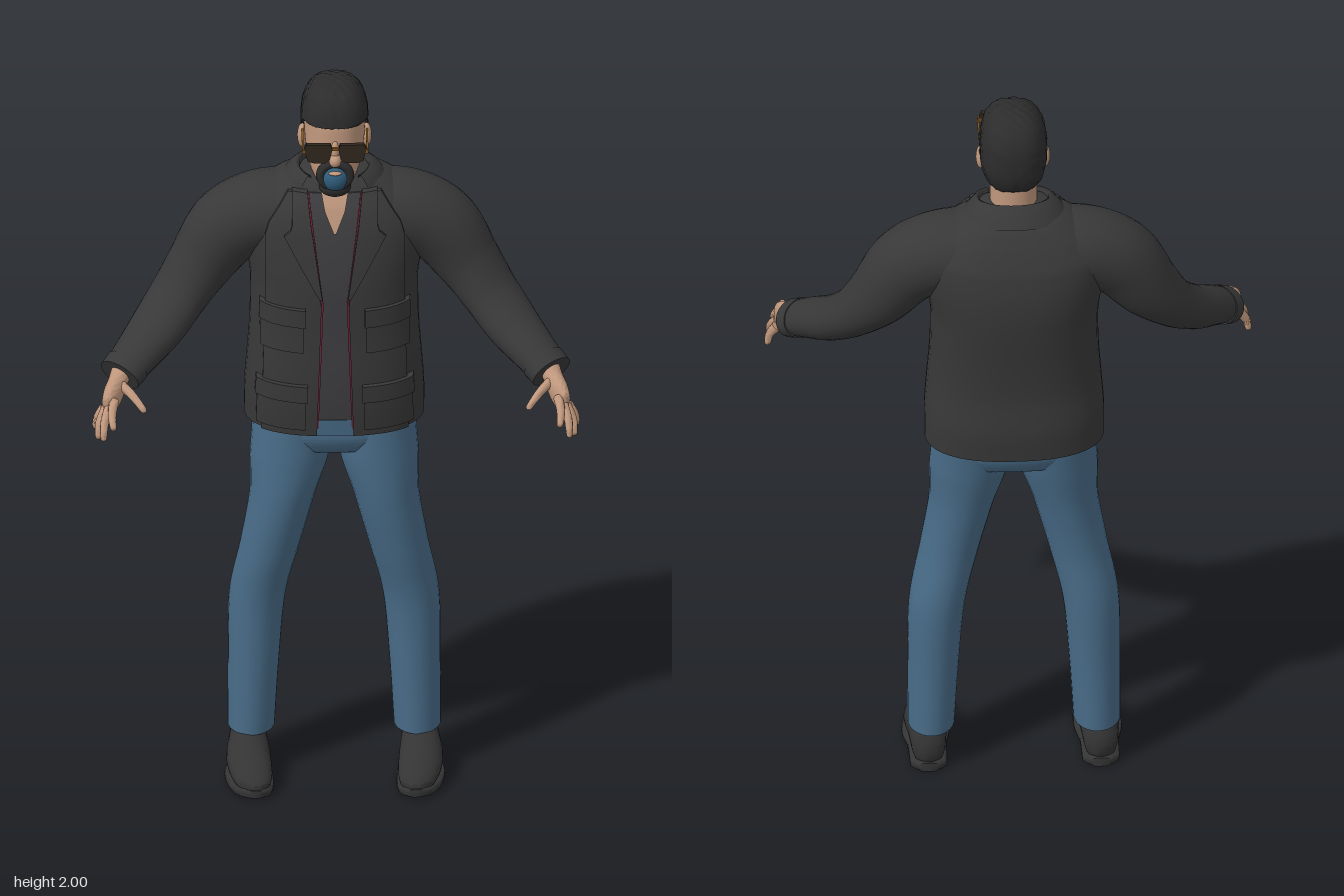
import * as THREE from 'three';
import { toCreasedNormals } from 'three/addons/utils/BufferGeometryUtils.js';

const V = (x, y, z) => new THREE.Vector3(x, y, z);
const Y = V(0, 1, 0), Z = V(0, 0, 1);
const material = (name, color, side = THREE.FrontSide) => {
  const m = new THREE.MeshStandardMaterial({ color, side });
  m.name = name;
  return m;
};

// Smooth closed body through rows of [x, y, z, radiusTowardsRef, radiusAcross]
function loft(rows, { ref = Y, flat = false, p = 2, n = 28, steps = 32 } = {}) {
  const path = new THREE.CatmullRomCurve3(rows.map(r => V(r[0], r[1], r[2])));
  const size = new THREE.CatmullRomCurve3(rows.map(r => V(r[3], r[4], 0)));
  const axis = ref === Z ? Y : Z, first = path.getPoint(0), last = path.getPoint(1);
  const flatT = axis.clone().multiplyScalar(Math.sign(last.clone().sub(first).dot(axis)));
  const pos = [], idx = [];
  const pw = c => Math.sign(c) * Math.abs(c) ** (2 / p);
  for (let i = 0; i <= steps; i++) {
    const c = path.getPoint(i / steps), s = size.getPoint(i / steps);
    const T = flat ? flatT : path.getTangent(i / steps);
    const b = T.clone().cross(ref).normalize(), a = b.clone().cross(T);
    for (let j = 0; j < n; j++) {
      const q = j / n * Math.PI * 2;
      const v = c.clone().addScaledVector(b, pw(Math.cos(q)) * s.y).addScaledVector(a, pw(Math.sin(q)) * s.x);
      pos.push(v.x, v.y, v.z);
      if (i < steps) {
        const A = i * n + j, B = i * n + (j + 1) % n;
        idx.push(A, A + n, B, B, A + n, B + n);
      }
    }
  }
  const c0 = pos.length / 3, end = steps * n;
  pos.push(...first.toArray(), ...last.toArray());
  for (let j = 0; j < n; j++) {
    const k = (j + 1) % n;
    idx.push(c0, j, k, c0 + 1, end + k, end + j);
  }
  const g = new THREE.BufferGeometry();
  g.setAttribute('position', new THREE.Float32BufferAttribute(pos, 3));
  g.setIndex(idx);
  return toCreasedNormals(g, 1);
}

// Rows of [y, halfWidth, zFront, zBack] to upright loft rows
const upright = rows => rows.map(([y, w, f, b]) => [0, y, (f + b) / 2, (f - b) / 2, w]);

const TORSO = upright([
  [1.02, .232, .04, -.262], [1.1, .232, .048, -.267], [1.2, .225, .05, -.26], [1.3, .218, .046, -.266],
  [1.42, .217, .045, -.28], [1.52, .235, .035, -.283], [1.6, .245, .02, -.27], [1.66, .205, -.002, -.242],
  [1.705, .14, -.03, -.21], [1.73, .08, -.05, -.175]]);
const torsoPath = new THREE.CatmullRomCurve3(TORSO.map(r => V(r[0], r[1], r[2])));
const torsoSize = new THREE.CatmullRomCurve3(TORSO.map(r => V(r[3], r[4], 0)));
const TORSO_P = 2.4;

// Depth of the chest surface at a given x and y
function chestZ(x, y) {
  let lo = 0, hi = 1;
  for (let i = 0; i < 22; i++) {
    const m = (lo + hi) / 2;
    if (torsoPath.getPoint(m).y < y) lo = m; else hi = m;
  }
  const s = torsoSize.getPoint(lo), k = Math.min(Math.abs(x) / s.y, .97);
  return torsoPath.getPoint(lo).z + s.x * (1 - k ** TORSO_P) ** (1 / TORSO_P);
}

// Cloth panel lying on the chest; rows of [y, xInner, xOuter] from bottom to top
function panel(rows, depth, s = 1) {
  const g = new THREE.BoxGeometry(1, 1, 1, 10, 18, 1), a = g.attributes.position;
  const y0 = rows[0][0], y1 = rows[rows.length - 1][0];
  for (let i = 0; i < a.count; i++) {
    const y = y0 + (y1 - y0) * (a.getY(i) + .5);
    let k = 0;
    while (k < rows.length - 2 && y > rows[k + 1][0]) k++;
    const A = rows[k], B = rows[k + 1], t = (y - A[0]) / (B[0] - A[0]);
    const e = [1, 2].map(j => s * (A[j] + (B[j] - A[j]) * t)).sort((m, n) => m - n);
    const x = e[0] + (e[1] - e[0]) * (a.getX(i) + .5);
    a.setXYZ(i, x, y, chestZ(x, y) + (a.getZ(i) > 0 ? depth : -.02));
  }
  g.computeVertexNormals();
  return g;
}

export function createModel() {
  const root = new THREE.Group();
  root.name = 'standingMan';
  const jacket = material('jacketCharcoal', 0x383838, THREE.DoubleSide);
  const jeans = material('denimBlue', 0x486b87);
  const skin = material('skin', 0xbe967c);
  const hair = material('hairBlack', 0x2c2c2d);
  const shoe = material('shoeBlack', 0x343434);
  const shirt = material('shirtGrey', 0x3d3d40);
  const red = material('trimRed', 0x6e2036);
  const lens = material('lensBrown', 0x30281f);
  const gold = material('frameGold', 0x80561c);
  const blue = material('beardBlue', 0x2f5c7a);

  const add = (name, geo, mat) => {
    const m = new THREE.Mesh(geo, mat);
    m.name = name;
    root.add(m);
    return m;
  };
  const ball = (name, mat, p, r) => {
    const m = add(name, new THREE.SphereGeometry(1, 24, 16), mat);
    m.position.set(...p);
    m.scale.set(...r);
    return m;
  };
  const box = (name, mat, p, size) => add(name, new THREE.BoxGeometry(...size), mat).position.set(...p);

  // Torso, neck and hips
  add('jacketBody', loft(TORSO, { ref: Z, flat: true, p: TORSO_P, n: 48, steps: 54 }), jacket);
  add('neck', loft(upright([[1.62, .075, -.02, -.17], [1.7, .062, -.025, -.155], [1.83, .06, -.03, -.15]]), { ref: Z, flat: true }), skin);
  add('hips', loft(upright([[1.06, .2, .02, -.225], [.99, .207, .02, -.22], [.945, .19, .0, -.2], [.93, .13, -.03, -.17]]),
    { ref: Z, flat: true, p: 2.4 }), jeans);

  // Shirt front, open neck and the gap under the shirt
  add('shirtFront', panel([[1.06, -.05, .05], [1.4, -.04, .04], [1.6, -.07, .07], [1.69, -.075, .075]], .004), shirt);
  add('fly', panel([[1.018, -.05, .05], [1.065, -.05, .05]], .006), jeans);
  add('openNeck', panel([[1.595, -.003, .003], [1.65, -.026, .026], [1.7, -.036, .036]], .009), skin);

  // Jacket collar
  const collarProfile = [[.084, 1.69], [.09, 1.738], [.1, 1.742], [.125, 1.715], [.142, 1.685]];
  const collarGeo = new THREE.LatheGeometry(collarProfile.map(([r, y]) => new THREE.Vector2(r, y - 1.7)), 40, .75, Math.PI * 2 - 1.5);
  const collar = add('collar', collarGeo, jacket);
  collar.position.set(0, 1.7, -.105);
  collar.scale.z = .78;
  collar.rotation.x = .22;

  for (const s of [1, -1]) {
    const side = s > 0 ? 'left' : 'right';
    const flip = rows => rows.map(([x, ...r]) => [x * s, ...r]);
    const part = (name, rows, mat, opt) => add(side + name, loft(flip(rows), opt), mat);
    const cloth = (name, rows, depth, mat = jacket) => add(side + name, panel(rows, depth, s), mat);

    // Jacket front, lapel, trim and pockets
    cloth('JacketFront', [[1.02, .047, .19], [1.4, .035, .18], [1.6, .062, .18], [1.69, .075, .12]], .013);
    cloth('Lapel', [[1.42, .033, .04], [1.595, .058, .135], [1.605, .06, .11], [1.695, .07, .11]], .021);
    cloth('Trim', [[1.04, .043, .047], [1.4, .03, .035], [1.6, .055, .062], [1.69, .066, .075]], .009, red);
    cloth('LowerPocket', [[1.04, .075, .203], [1.15, .075, .2]], .021);
    cloth('LowerFlap', [[1.125, .07, .206], [1.172, .07, .203]], .028);
    cloth('UpperPocket', [[1.265, .08, .193], [1.35, .08, .193]], .02);
    cloth('UpperFlap', [[1.34, .076, .196], [1.39, .076, .194]], .027);

    // Sleeve and cuff
    part('Sleeve', [[.08, 1.6, -.12, .1, .12], [.19, 1.59, -.12, .105, .11], [.27, 1.55, -.115, .103, .1],
      [.345, 1.45, -.1, .085, .085], [.405, 1.37, -.06, .066, .08], [.46, 1.31, 0, .058, .075],
      [.51, 1.27, .06, .052, .064], [.552, 1.238, .108, .045, .056]], jacket, { steps: 42 });
    part('Cuff', [[.535, 1.25, .088, .051, .062], [.556, 1.234, .113, .049, .06]], jacket, { steps: 4 });

    // Hand
    part('Palm', [[.545, 1.25, .095, .026, .03], [.56, 1.228, .13, .027, .025], [.574, 1.205, .165, .039, .024],
      [.585, 1.186, .192, .036, .018], [.588, 1.18, .202, .02, .008]], skin);
    const fingers = [
      ['Index', [.572, 1.203, .2], [.578, 1.188, .245], [.575, 1.165, .28]],
      ['Middle', [.583, 1.19, .197], [.597, 1.163, .24], [.6, 1.13, .27]],
      ['Ring', [.592, 1.178, .187], [.61, 1.146, .213], [.613, 1.113, .228]],
      ['Little', [.597, 1.17, .17], [.615, 1.142, .175], [.62, 1.115, .172]],
      ['Thumb', [.555, 1.225, .145], [.525, 1.215, .19], [.495, 1.192, .232]]];
    for (const [name, a, b, c] of fingers) {
      const tip = c.map((v, i) => v + (c[i] - b[i]) * .12);
      part(name + 'Finger', [[...a, .014, .013], [...b, .011, .011], [...c, .008, .008], [...tip, .002, .002]], skin, { n: 10, steps: 10 });
    }

    // Trouser leg
    part('TrouserLeg', [[.107, 1.02, -.1, .115, .103], [.114, .92, -.09, .11, .103], [.133, .8, -.08, .1, .085],
      [.165, .65, -.083, .088, .077], [.197, .5, -.1, .083, .073], [.208, .3, -.1, .08, .066],
      [.214, .115, -.1, .081, .061]], jeans, { ref: Z, flat: true, steps: 40 });

    // Shoe and sole
    part('Shoe', [[.222, .055, -.168, .03, .02], [.222, .064, -.15, .06, .043], [.222, .07, -.08, .066, .05],
      [.222, .058, -.005, .052, .057], [.216, .044, .055, .036, .054], [.21, .036, .1, .024, .042],
      [.207, .032, .122, .008, .015]], shoe, { flat: true });
    part('Sole', [[.222, .013, -.174, .013, .022], [.222, .013, -.15, .013, .048], [.222, .013, -.07, .013, .05],
      [.222, .013, .0, .013, .062], [.216, .013, .06, .013, .058], [.21, .016, .105, .013, .044],
      [.207, .018, .126, .011, .016]], shoe, { flat: true, p: 5 });

    // Ear, spectacle lens and temple arm
    ball(side + 'Ear', skin, [s * .083, 1.838, -.06], [.013, .033, .021]);
    const pane = new THREE.Shape([[.008, 1.868], [.012, 1.881], [.074, 1.882], [.08, 1.87], [.072, 1.836], [.056, 1.83],
      [.026, 1.83], [.014, 1.84]].map(([x, y]) => new THREE.Vector2(x * s, y)));
    add(side + 'Lens', new THREE.ExtrudeGeometry(pane, { depth: .014, bevelEnabled: false }), lens).position.z = .07;
    box(side + 'TempleArm', gold, [s * .083, 1.86, .004], [.005, .007, .15]);
    box(side + 'Hinge', gold, [s * .079, 1.862, .076], [.01, .012, .012]);
  }
  box('glassesBridge', gold, [0, 1.868, .077], [.03, .007, .008]);

  // Head and nose
  add('head', loft(upright([[1.71, .02, .025, -.03], [1.735, .045, .042, -.06], [1.77, .063, .045, -.1], [1.81, .073, .042, -.135],
    [1.85, .078, .04, -.155], [1.9, .08, .035, -.16], [1.95, .07, .015, -.15], [1.98, .035, -.03, -.11]]),
    { ref: Z, flat: true, p: 2.2 }), skin);
  ball('nose', skin, [0, 1.818, .046], [.016, .018, .02]);
  ball('noseBridge', skin, [0, 1.84, .04], [.011, .03, .014]);

  // Short cropped hair: a boxy ball, trimmed along the hairline and ruffled
  const hairGeo = new THREE.SphereGeometry(1, 56, 40), hp = hairGeo.attributes.position;
  for (let i = 0; i < hp.count; i++) {
    const d = V(hp.getX(i), hp.getY(i), hp.getZ(i));
    const k = (Math.abs(d.x) ** 2.5 + Math.abs(d.y) ** 2.5 + Math.abs(d.z) ** 2.5) ** (-1 / 2.5);
    const ruffle = 1 + .018 * Math.sin(d.x * 19 + d.y * 7) * Math.sin(d.z * 23 + d.y * 13);
    d.multiplyScalar(k * ruffle);
    const z = -.073 + d.z * .111;
    const hairline = z > -.02 ? 1.905 : z > -.075 ? THREE.MathUtils.mapLinear(z, -.075, -.02, 1.86, 1.905)
      : THREE.MathUtils.mapLinear(Math.max(z, -.11), -.11, -.075, 1.785, 1.86);
    hp.setXYZ(i, d.x * .087, Math.max(1.88 + d.y * .118, hairline), z);
  }
  hairGeo.computeVertexNormals();
  add('hair', hairGeo, hair);

  // Moustache and goatee
  const ring = add('moustacheRing', new THREE.TorusGeometry(.034, .011, 10, 28), hair);
  ring.position.set(0, 1.772, .038);
  ring.scale.set(1.1, 1, 1.4);
  ball('goatee', blue, [0, 1.762, .034], [.036, .036, .032]);
  ball('goateeTip', hair, [0, 1.732, .022], [.042, .027, .034]);
  ball('lowerLip', skin, [0, 1.785, .056], [.017, .005, .009]);
  return root;
}
